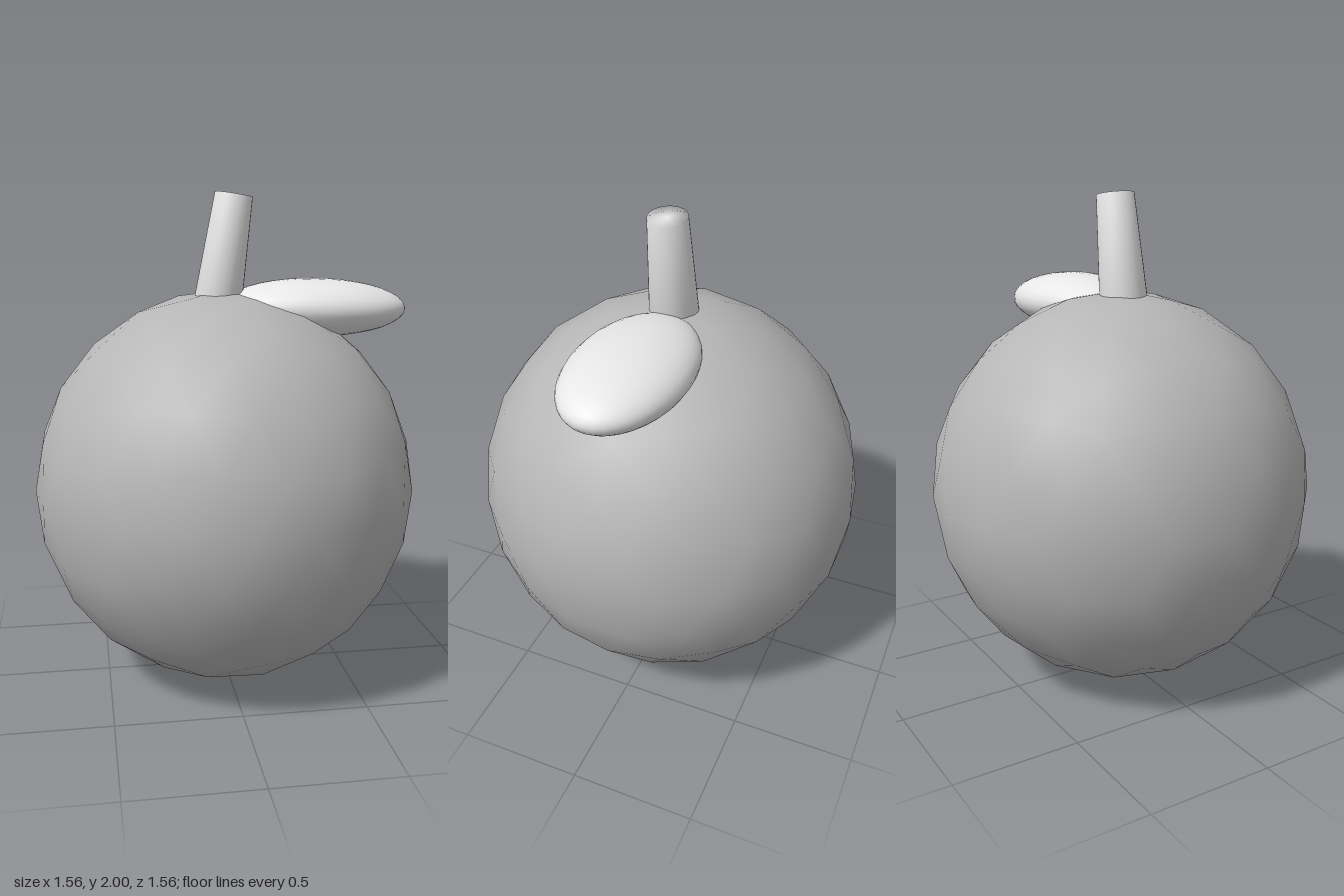
import * as THREE from 'three';
import { mergeVertices } from 'three/addons/utils/BufferGeometryUtils.js';

const bodyGrey = new THREE.MeshStandardMaterial({ color: 0xb6b6b6 });
bodyGrey.name = 'fruit grey';
const lightGrey = new THREE.MeshStandardMaterial({ color: 0xe7e7e7 });
lightGrey.name = 'leaf and stem grey';

function addMesh(group, name, geometry, material) {
  const mesh = new THREE.Mesh(geometry, material);
  mesh.name = name;
  group.add(mesh);
  return mesh;
}

// Weld a geometry so its normals run smoothly over every edge
function smooth(geometry) {
  geometry.deleteAttribute('uv');
  geometry.deleteAttribute('normal');
  const welded = mergeVertices(geometry, 1e-4);
  welded.computeVertexNormals();
  return welded;
}

// Icosphere with a corner at each pole, halved twice
function icosphere() {
  const corners = [0, 1, 0];
  const h = 1 / Math.sqrt(5), r = 2 / Math.sqrt(5);
  for (const [y, turn] of [[h, 0], [-h, Math.PI / 5]]) {
    for (let i = 0; i < 5; i++) {
      const a = turn + i * Math.PI * 2 / 5;
      corners.push(r * Math.cos(a), y, -r * Math.sin(a));
    }
  }
  corners.push(0, -1, 0);

  const faces = [];
  for (let i = 0; i < 5; i++) {
    const j = (i + 1) % 5;
    const u = 1 + i, v = 1 + j, l = 6 + i, m = 6 + j;
    faces.push(0, u, v, u, l, v, v, l, m, l, 11, m);
  }
  const half = new THREE.PolyhedronGeometry(corners, faces, 1, 1);
  const points = Array.from(half.attributes.position.array);
  return new THREE.PolyhedronGeometry(points, points.slice(0, points.length / 3).map((_, i) => i), 1, 1);
}

export function createModel() {
  const model = new THREE.Group();
  model.name = 'fruit';

  // Round body, slightly taller than wide
  const bodyShape = smooth(icosphere());
  bodyShape.scale(0.78, 0.807, 0.78);
  bodyShape.computeVertexNormals();
  addMesh(model, 'body', bodyShape, bodyGrey).position.y = 0.808;

  // Tapered stem leaning to the model's left, with softly shaded ends
  const stemShape = smooth(new THREE.CylinderGeometry(0.076, 0.097, 0.42, 32));
  const stem = addMesh(model, 'stem', stemShape, lightGrey);
  stem.position.set(0.008, 1.783, 0);
  stem.rotation.z = -0.15;

  // Plump oval leaf lying on the shoulder
  const leafShape = new THREE.SphereGeometry(1, 32, 20);
  leafShape.rotateZ(Math.PI / 2);
  leafShape.scale(0.38, 0.118, 0.23);
  const leaf = addMesh(model, 'leaf', leafShape, lightGrey);
  leaf.position.set(0.375, 1.542, 0);
  leaf.rotation.z = -0.02;

  return model;
}
